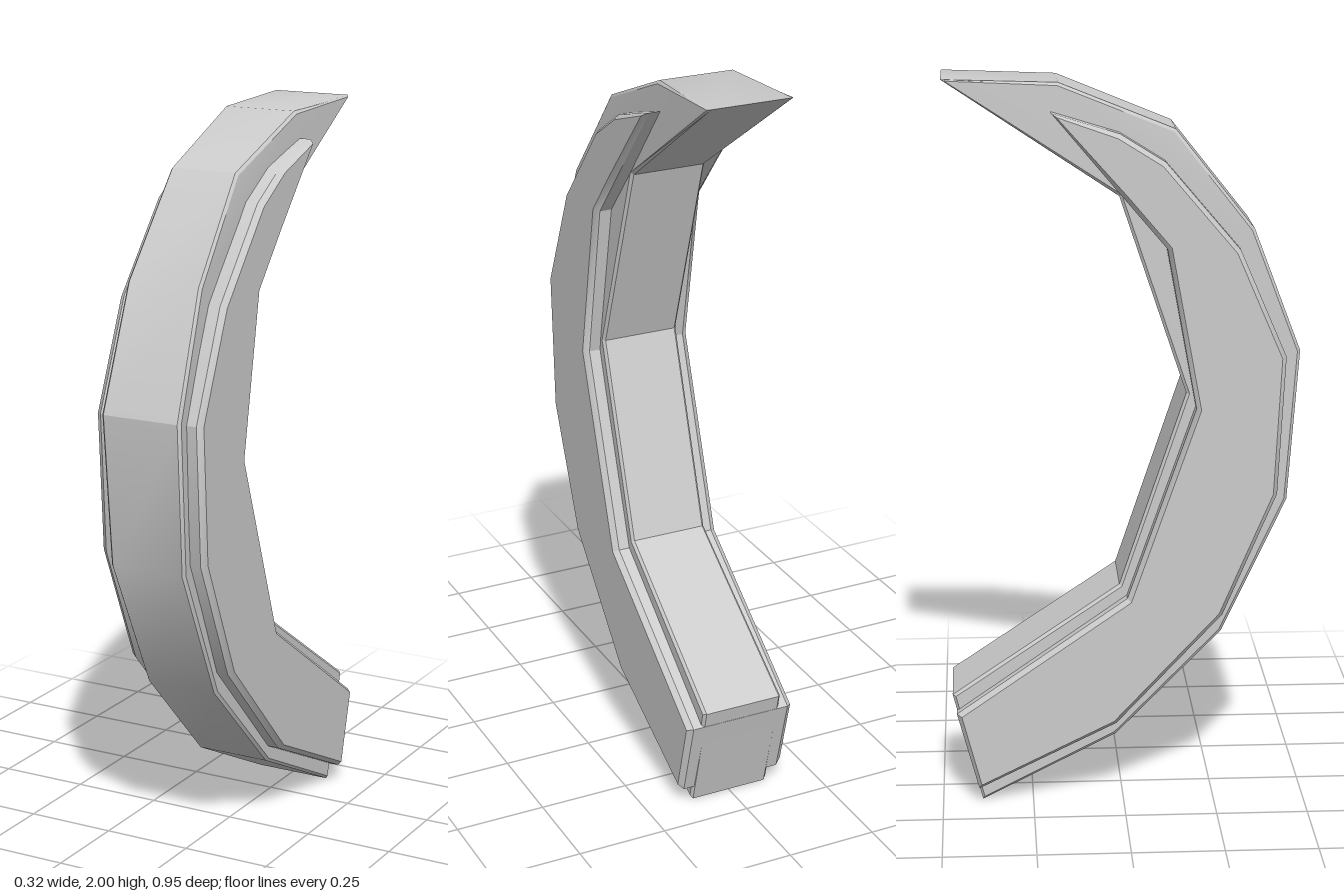
import * as THREE from 'three';
import { toCreasedNormals } from 'three/addons/utils/BufferGeometryUtils.js';

const material = new THREE.MeshStandardMaterial({ color: 0xcccccc });

// Chamfered slab from a side outline of [z, y, halfWidth] points
function slab(name, outline, bevel) {
  const shape = new THREE.Shape(outline.map(([z, y]) => new THREE.Vector2(-z, y)));
  const geo = new THREE.ExtrudeGeometry(shape, {
    depth: 2 - 2 * bevel * 8, bevelEnabled: true, bevelSegments: 1,
    bevelThickness: bevel * 8, bevelSize: bevel, bevelOffset: -bevel,
  });
  geo.translate(0, 0, -1 + bevel * 8);
  geo.rotateY(Math.PI / 2);

  // Scale the unit thickness to the half width of the nearest outline point
  const pos = geo.attributes.position;
  for (let i = 0; i < pos.count; i++) {
    let best = Infinity, width = 0;
    for (const [z, y, w] of outline) {
      const d = Math.hypot(pos.getZ(i) - z, pos.getY(i) - y);
      if (d < best) { best = d; width = w; }
    }
    pos.setX(i, pos.getX(i) * width);
  }
  geo.deleteAttribute('uv');
  geo.deleteAttribute('normal');
  const mesh = new THREE.Mesh(toCreasedNormals(geo, 0.42), material);
  mesh.name = name;
  return mesh;
}

export function createModel() {
  const group = new THREE.Group();
  group.name = 'curvedHorn';

  // Narrow core: outer curve from the base up to the tip, then back down the inner curve
  group.add(slab('core', [
    [-0.39, 0.0, 0.117], [-0.02, 0.185, 0.112], [0.27, 0.48, 0.108], [0.445, 0.855, 0.112],
    [0.475, 1.27, 0.117], [0.35, 1.6, 0.109], [0.14, 1.865, 0.1], [-0.17, 1.99, 0.11],
    [-0.475, 2.0, 0.119], [-0.01, 1.69, 0.108], [0.17, 1.155, 0.112], [-0.01, 0.62, 0.112],
    [-0.47, 0.31, 0.117],
  ], 0.008));

  // Wider inset body that stands proud of the core on both sides
  group.add(slab('sidePlates', [
    [-0.4, 0.045], [-0.02, 0.23], [0.27, 0.54], [0.415, 0.88], [0.435, 1.26],
    [0.31, 1.55], [0.11, 1.785], [-0.01, 1.86], [-0.19, 1.915], [0.0, 1.69],
    [0.115, 1.555], [0.195, 1.12], [0.01, 0.59], [-0.459, 0.265],
  ].map(([z, y]) => [z, y, 0.158]), 0.012));

  return group;
}
